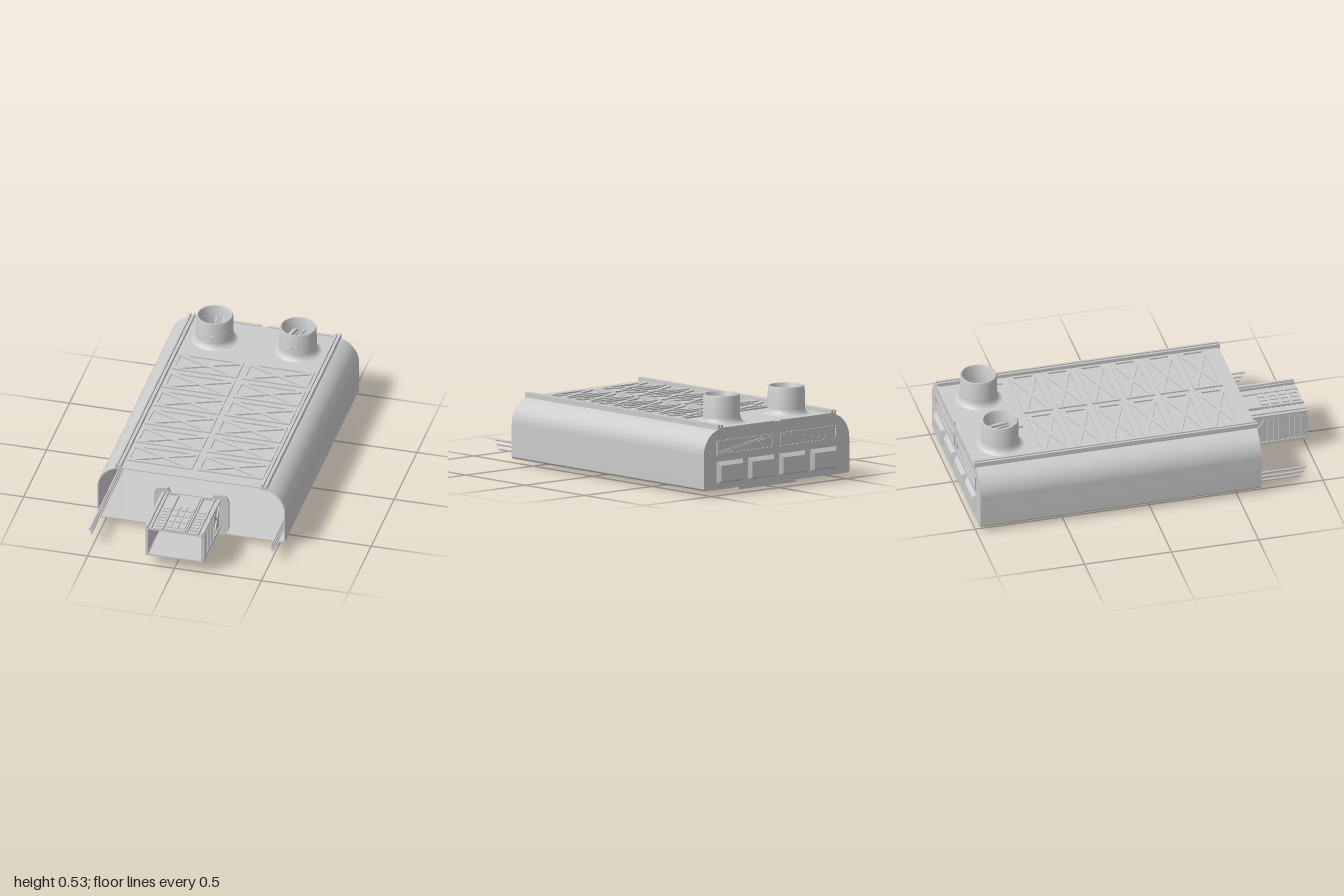
import * as THREE from 'three';
import { toCreasedNormals } from 'three/addons/utils/BufferGeometryUtils.js';

const mat = new THREE.MeshStandardMaterial({ color: 0xcccccc });
const matDouble = new THREE.MeshStandardMaterial({ color: 0xcccccc, side: THREE.DoubleSide });
const V = (x, y, z) => new THREE.Vector3(x, y, z);
const path = (pts, C = THREE.Shape) => new C(pts.map(p => new THREE.Vector2(...p)));

function add(parent, name, geo, x = 0, y = 0, z = 0, m = mat) {
  const mesh = new THREE.Mesh(geo, m);
  mesh.name = name;
  mesh.position.set(x, y, z);
  parent.add(mesh);
  return mesh;
}
// Box given by its limits on each axis
function box(parent, name, x0, x1, y0, y1, z0, z1) {
  return add(parent, name, new THREE.BoxGeometry(x1 - x0, y1 - y0, z1 - z0),
    (x0 + x1) / 2, (y0 + y1) / 2, (z0 + z1) / 2);
}
// Square bar between two points
function bar(parent, name, a, b, w) {
  const m = add(parent, name, new THREE.BoxGeometry(w, w, a.distanceTo(b) + w));
  m.position.copy(a).lerp(b, 0.5);
  m.lookAt(b);
  return m;
}
function tube(parent, name, pts, r) {
  return add(parent, name, new THREE.TubeGeometry(new THREE.CatmullRomCurve3(pts), 40, r, 6), 0, 0, 0, matDouble);
}
const extrude = (shape, depth) => toCreasedNormals(
  new THREE.ExtrudeGeometry(shape, { depth, bevelEnabled: false, curveSegments: 12 }), 0.6);

// Housing section: small lower corners, large upper corners
function section(inset, C = THREE.Shape) {
  const s = new C(), x = 0.54 - inset, b = 0.03 + inset, t = 0.372 - inset, r = 0.014, R = 0.145 - inset;
  s.moveTo(-x + r, b);
  s.lineTo(x - r, b);
  s.absarc(x - r, b + r, r, -Math.PI / 2, 0);
  s.lineTo(x, t - R);
  s.absarc(x - R, t - R, R, 0, Math.PI / 2);
  s.lineTo(-x + R, t);
  s.absarc(-x + R, t - R, R, Math.PI / 2, Math.PI);
  s.lineTo(-x, b + r);
  s.absarc(-x + r, b + r, r, Math.PI, Math.PI * 1.5);
  return s;
}

function buildHousing(g) {
  const shell = section(0);
  shell.holes.push(section(0.006, THREE.Path));
  add(g, 'housingShell', extrude(shell, 1.615), 0, 0, -0.98);
  add(g, 'backWall', extrude(section(0.003), 0.01), 0, 0, -0.98);

  // Raised cross-braced panels on the roof
  const w = 0.188, h = 0.082, e = 0.014, k = 0.03;
  const panel = path([[-w, -h], [w, -h], [w, h], [-w, h]]);
  const iw = w - e, ih = h - e;
  for (const s of [-1, 1]) {
    panel.holes.push(path([[-iw + k, s * ih], [iw - k, s * ih], [0, s * 0.012]], THREE.Path));
    panel.holes.push(path([[s * iw, -ih + 0.012], [s * iw, ih - 0.012], [s * 0.026, 0]], THREE.Path));
  }
  const panelGeo = extrude(panel, 0.01).rotateX(-Math.PI / 2);
  for (const s of [-1, 1])
    for (let i = 0; i < 6; i++) add(g, 'roofPanel', panelGeo, s * 0.203, 0.371, -0.5 + i * 0.195);

  // Roof rails: a base with two lips
  for (const s of [-1, 1]) {
    const rail = new THREE.Group();
    rail.name = 'roofRail';
    rail.position.x = s * 0.42;
    box(rail, 'railBase', -0.017, 0.017, 0.362, 0.378, -0.985, 0.64);
    for (const l of [-1, 1]) box(rail, 'railLip', l * 0.011 - 0.006, l * 0.011 + 0.006, 0.376, 0.393, -0.985, 0.64);
    g.add(rail);
  }
}

function buildBack(g) {
  // Frustum windows
  const geo = new THREE.BoxGeometry(0.2, 0.125, 0.022);
  const p = geo.attributes.position;
  for (let i = 0; i < p.count; i++)
    if (p.getZ(i) < 0) p.setXY(i, p.getX(i) * 0.8, p.getY(i) * 0.72 - 0.006);
  const windowGeo = toCreasedNormals(geo, 0.2);
  for (const x of [-0.347, -0.115, 0.115, 0.347]) add(g, 'backWindow', windowGeo, x, 0.127, -0.989);
  // Diagonal-braced bands
  for (const s of [-1, 1]) {
    const q = (x, y) => V(s * x, y, -0.982);
    const loop = [q(0.03, 0.3), q(0.44, 0.3), q(0.44, 0.228), q(0.03, 0.228)];
    loop.forEach((a, i) => bar(g, 'bandFrame', a, loop[(i + 1) % 4], 0.01));
    bar(g, 'bandDiagonal', q(0.43, 0.238), q(0.07, 0.294), 0.01);
    bar(g, 'bandDiagonal', q(0.4, 0.232), q(0.04, 0.288), 0.008);
    // Matching braces on the inside of the wall
    const r = (x, y) => V(s * x, y, -0.968);
    const tri = [r(0.45, 0.3), r(0.45, 0.23), r(0.07, 0.297)];
    tri.forEach((a, i) => bar(g, 'innerBrace', a, tri[(i + 1) % 3], 0.007));
    bar(g, 'innerBrace', r(0.41, 0.228), r(0.02, 0.285), 0.007);
    box(g, 'backTopLip', Math.min(s * 0.02, s * 0.43), Math.max(s * 0.02, s * 0.43), 0.366, 0.378, -0.988, -0.972);
  }
}

function buildVents(g) {
  const profile = [[0.136, 0.37], [0.12, 0.376], [0.109, 0.388], [0.104, 0.408], [0.103, 0.52],
    [0.099, 0.53], [0.094, 0.53], [0.091, 0.524], [0.091, 0.372]].map(p => new THREE.Vector2(...p));
  const ventGeo = toCreasedNormals(new THREE.LatheGeometry(profile, 40), 0.9);
  for (const s of [-1, 1]) {
    const v = new THREE.Group();
    v.name = 'roofVent';
    v.position.set(s * 0.24, 0, -0.79);
    add(v, 'ventPipe', ventGeo, 0, 0, 0, matDouble);
    bar(v, 'ventPost', V(-s * 0.06, 0.46, -0.065), V(-s * 0.06, 0.46, 0.065), 0.01);
    for (let i = 0; i < 4; i++)
      bar(v, 'ventBlade', V(-s * 0.07, 0.47, -0.06 + i * 0.04), V(s * (i % 2 ? 0.07 : 0), 0.44, -0.06 + i * 0.04), 0.009);
    bar(v, 'ventBlade', V(-s * 0.07, 0.52, -0.03), V(-s * 0.03, 0.4, 0.03), 0.01);
    g.add(v);
  }
}

function buildConnector(g) {
  // Rounded flange with a notch in its top edge
  const f = new THREE.Shape(), x = 0.215, r = 0.045, b = 0.025, t = 0.283;
  f.moveTo(-x + r, b);
  f.lineTo(x - r, b);
  f.absarc(x - r, b + r, r, -Math.PI / 2, 0);
  f.lineTo(x, t - r);
  f.absarc(x - r, t - r, r, 0, Math.PI / 2);
  for (const p of [[0.135, t], [0.12, 0.258], [-0.12, 0.258], [-0.135, t]]) f.lineTo(...p);
  f.lineTo(-x + r, t);
  f.absarc(-x + r, t - r, r, Math.PI / 2, Math.PI);
  f.lineTo(-x, b + r);
  f.absarc(-x + r, b + r, r, Math.PI, Math.PI * 1.5);
  add(g, 'connectorFlange', extrude(f, 0.018), 0, 0, 0.62);

  // Open-ended duct
  box(g, 'ductFloor', -0.165, 0.165, 0.062, 0.072, 0.63, 1);
  box(g, 'ductRoof', -0.165, 0.165, 0.232, 0.24, 0.63, 1);
  box(g, 'ductRoofCentre', -0.06, 0.06, 0.238, 0.252, 0.63, 1);
  for (let i = 0; i < 4; i++) {
    const z = 0.76 + i * 0.06;
    for (const c of [-1, 0, 1]) box(g, 'roofTile', c * 0.038 - 0.015, c * 0.038 + 0.015, 0.25, 0.26, z, z + 0.045);
    for (let j = -2; j <= 2; j++) box(g, 'floorTile', j * 0.06 - 0.027, j * 0.06 + 0.027, 0.059, 0.064, z - 0.1 + i * 0.02, z - 0.03 + i * 0.02);
  }
  for (const s of [-1, 1]) {
    const side = new THREE.Group();
    side.name = 'ductSide';
    box(side, 'ductWall', s * 0.157 - 0.004, s * 0.157 + 0.004, 0.062, 0.25, 0.63, 1);
    for (let i = 0; i < 8; i++) {
      const z = 0.775 + i * 0.031;
      box(side, 'wallRib', s * 0.162 - 0.006, s * 0.162 + 0.006, 0.085, 0.235, z - 0.006, z + 0.006);
      box(side, 'roofDash', s * 0.1 - 0.022, s * 0.1 + 0.022, 0.238, 0.247, z - 0.01, z + 0.008);
    }
    for (const y of [0.075, 0.248]) box(side, 'wallRail', s * 0.16 - 0.008, s * 0.16 + 0.008, y - 0.009, y + 0.009, 0.635, 1);
    for (const dx of [0.07, 0.135]) box(side, 'roofRib', s * dx - 0.004, s * dx + 0.004, 0.238, 0.256, 0.635, 1);
    bar(side, 'wallBrace', V(s * 0.163, 0.1, 0.66), V(s * 0.163, 0.225, 0.75), 0.009);
    bar(side, 'wallBrace', V(s * 0.163, 0.225, 0.66), V(s * 0.163, 0.1, 0.75), 0.009);
    box(side, 'flangeClip', s * 0.11 - 0.025, s * 0.11 + 0.025, 0.21, 0.228, 0.635, 0.66);
    g.add(side);
  }
}

function buildInterior(g) {
  for (const s of [-1, 1]) {
    // Slatted grilles
    const grille = new THREE.Group();
    grille.name = 'grille';
    grille.position.set(s * 0.325, 0, -0.5);
    box(grille, 'grilleBack', -0.036, 0.036, 0.036, 0.145, -0.01, 0);
    for (let i = 0; i < 9; i++) box(grille, 'grilleSlat', -0.036, 0.036, 0.04 + i * 0.012, 0.046 + i * 0.012, 0, 0.012);
    for (const x of [-0.034, 0, 0.034]) box(grille, 'grillePost', x - 0.003, x + 0.003, 0.036, 0.145, 0, 0.015);
    g.add(grille);
    // Long cables leaving through the front
    const end = s > 0 ? 0.81 : 0.9;
    [[0.16, 0.115], [0.125, 0.09], [0.1, 0.065]].forEach(([y0, y1], i) => {
      const x = s * (0.506 + 0.007 * (s < 0 ? 1 : 0));
      tube(g, 'longCable', [V(s * 0.15, y0, -0.6), V(s * 0.33, y0 + 0.01 - i * 0.01, -0.6),
        V(s * 0.47, (y0 + y1) / 2, -0.55), V(x, y1, -0.4), V(x, y1, 0), V(x, y1, 0.5), V(x, y1, end - i * 0.015)], 0.006);
    });
    // Cables hanging from the vents
    for (let i = 0; i < 4; i++)
      tube(g, 'ventCable', [V(s * (0.32 - i * 0.025), 0.37, -0.75), V(s * (0.3 - i * 0.025), 0.3, -0.72),
        V(s * (0.235 - i * 0.012), 0.25, -0.68), V(s * (0.17 - i * 0.01), 0.19, -0.6)], 0.006);
  }
}

function buildOutlet(g) {
  // Framed outlet below the rear
  const frame = path([[-0.21, -0.09], [0.21, -0.09], [0.21, 0.09], [-0.21, 0.09]]);
  frame.holes.push(path([[-0.17, -0.055], [0.17, -0.055], [0.17, 0.055], [-0.17, 0.055]], THREE.Path));
  add(g, 'outletFrame', extrude(frame, 0.034).rotateX(-Math.PI / 2), 0, 0, -0.81);
  for (let i = 0; i < 9; i++) {
    const x = -0.148 + i * 0.037;
    bar(g, 'outletSlat', V(x - 0.012, 0.026, -0.86), V(x + 0.012, 0.026, -0.76), 0.008);
  }
}

export function createModel() {
  const g = new THREE.Group();
  g.name = 'ventilatedHousing';
  for (const build of [buildHousing, buildBack, buildVents, buildConnector, buildInterior, buildOutlet]) build(g);
  return g;
}
